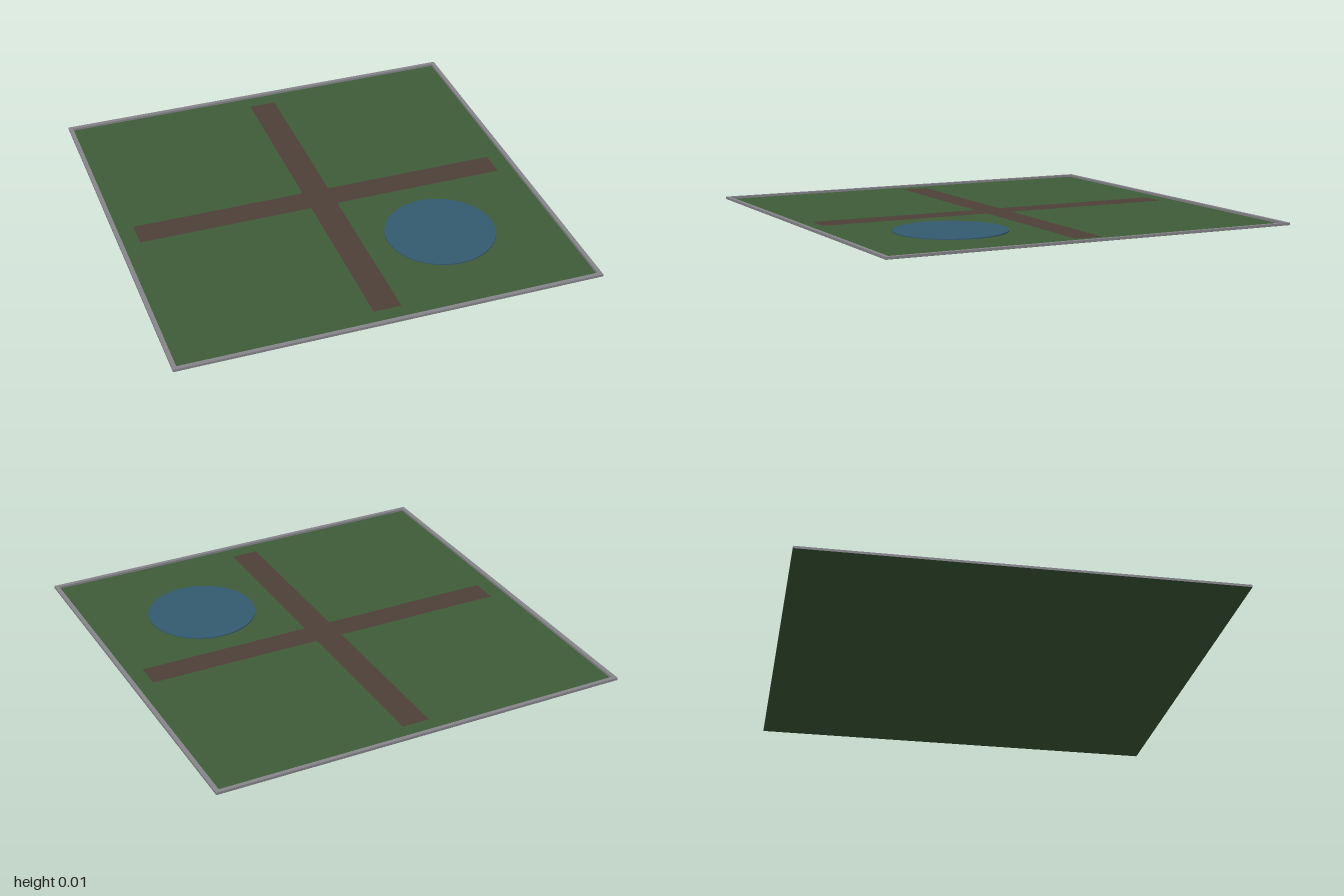
import * as THREE from 'three';

export function createModel() {
  const model = new THREE.Group();

  const add = (name, geometry, color, x, y, z) => {
    const material = new THREE.MeshStandardMaterial({ color });
    const mesh = new THREE.Mesh(geometry, material);
    mesh.name = name;
    mesh.position.set(x, y, z);
    model.add(mesh);
    return mesh;
  };

  // Flat square lawn
  const lawn = new THREE.PlaneGeometry(2, 2).rotateX(-Math.PI / 2);
  add('lawn', lawn, 0x3e5c39, 0, 0, 0).material.side = THREE.DoubleSide;

  // Two crossing paths laid just above the lawn
  const path = (w, d) => new THREE.PlaneGeometry(w, d).rotateX(-Math.PI / 2);
  add('pathAcross', path(1.8, 0.13), 0x4e4038, 0, 0.002, 0);
  add('pathAlong', path(0.13, 1.8), 0x4e4038, 0, 0.0025, 0);

  // Round pond, a shallow disc
  add('pond', new THREE.CylinderGeometry(0.26, 0.26, 0.005, 48), 0x335a70, 0.44, 0.0027, 0.44);

  // Low kerb around the edge
  const rim = 0.02, height = 0.011;
  for (const s of [-1, 1]) {
    const offset = s * (1 - rim / 2);
    const side = s > 0 ? 'Left' : 'Right', end = s > 0 ? 'Front' : 'Back';
    add('kerb' + end, new THREE.BoxGeometry(2, height, rim), 0x85858a, 0, height / 2 + 0.0005, offset);
    add('kerb' + side, new THREE.BoxGeometry(rim, height, 2 - 2 * rim), 0x85858a, offset, height / 2 + 0.0005, 0);
  }

  return model;
}
